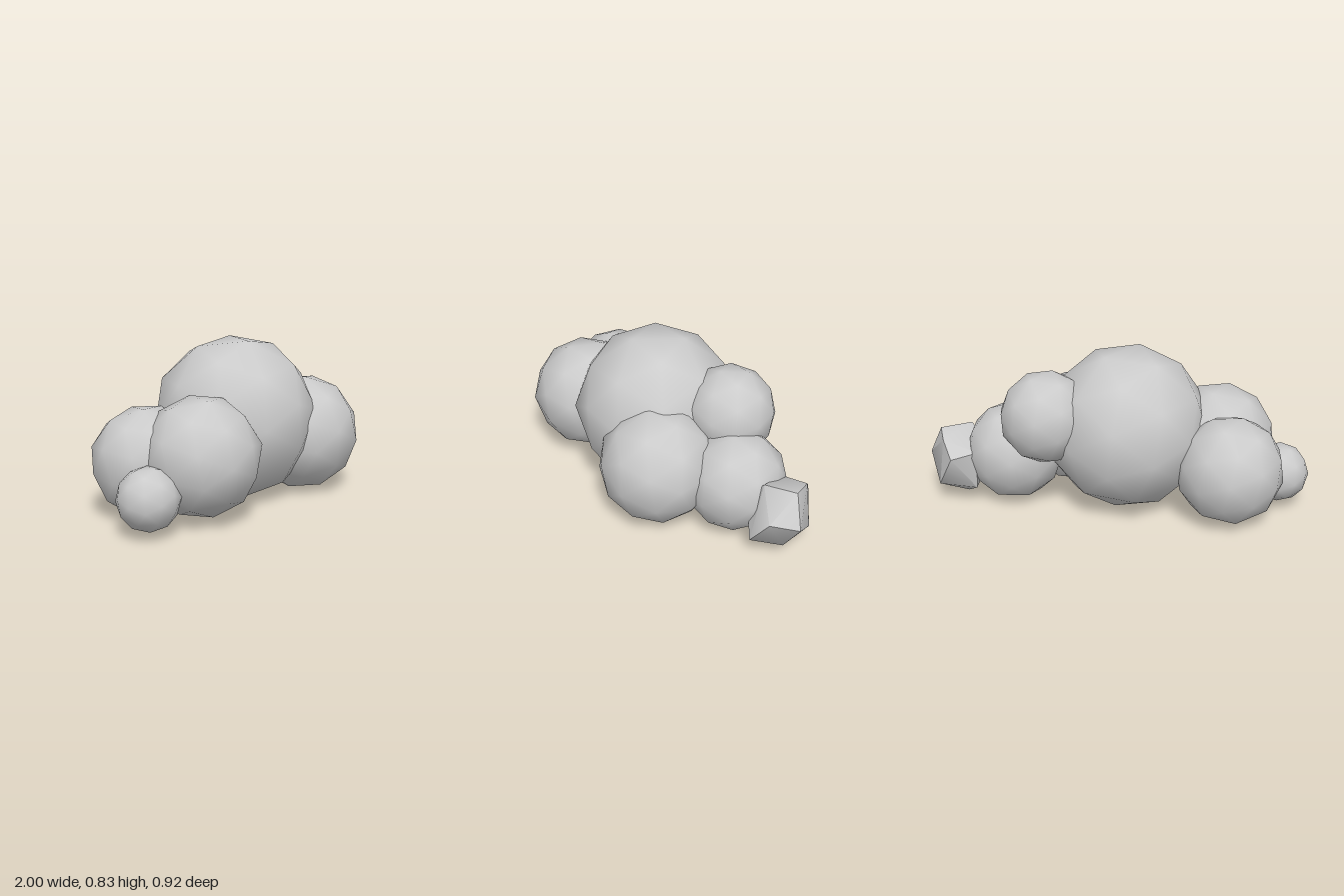
import * as THREE from 'three';
import { ConvexGeometry } from 'three/addons/geometries/ConvexGeometry.js';
import { toCreasedNormals } from 'three/addons/utils/BufferGeometryUtils.js';

export function createModel() {
  const cloud = new THREE.Group();
  cloud.name = 'cloud';
  const material = new THREE.MeshStandardMaterial({ color: 0xcccccc, roughness: 0.9 });

  // Rounded puffs: name, centre, radius, rotation
  const puffs = [
    ['centrePuff', [-0.06, 0.42, -0.05], 0.43, [0.28, 0, 0.1]],
    ['frontLeftPuff', [0.25, 0.31, 0.16], 0.308, [0.1, 0.3, 0.1]],
    ['frontRightPuff', [-0.52, 0.325, 0.09], 0.3, [0.25, 0.2, 0.15]],
    ['backRightPuff', [-0.61, 0.28, -0.18], 0.278, [0.1, 0.1, 0.2]],
    ['rightEndPuff', [-0.85, 0.185, 0.04], 0.155, [0.3, 0.1, 0]],
    ['backLeftPuff', [0.325, 0.515, -0.23], 0.24, [0.2, 0, 0.1]],
    ['leftPuff', [0.535, 0.262, -0.11], 0.262, [0.1, 0.2, 0]],
  ];
  for (const [name, centre, radius, rotation] of puffs) {
    const puff = new THREE.Mesh(new THREE.IcosahedronGeometry(radius, 1), material);
    puff.name = name;
    puff.position.set(...centre);
    puff.rotation.set(...rotation);
    cloud.add(puff);
  }

  // Chunkier, more angular puff at the left end
  const corners = [
    [1, 0.22, -0.13], [0.92, 0.38, -0.17], [0.87, 0.36, -0.28], [0.9, 0.11, -0.29],
    [0.81, 0.28, -0.35], [0.91, 0.25, -0.01], [0.78, 0.385, -0.08], [0.78, 0.03, -0.18],
    [0.9, 0.07, -0.12], [0.8, 0.1, 0.01], [0.66, 0.25, -0.08], [0.7, 0.1, -0.28],
    [0.69, 0.3, -0.28],
  ].map((p) => new THREE.Vector3(...p));
  const endPuff = new THREE.Mesh(toCreasedNormals(new ConvexGeometry(corners), 0.85), material);
  endPuff.name = 'leftEndPuff';
  cloud.add(endPuff);

  return cloud;
}
